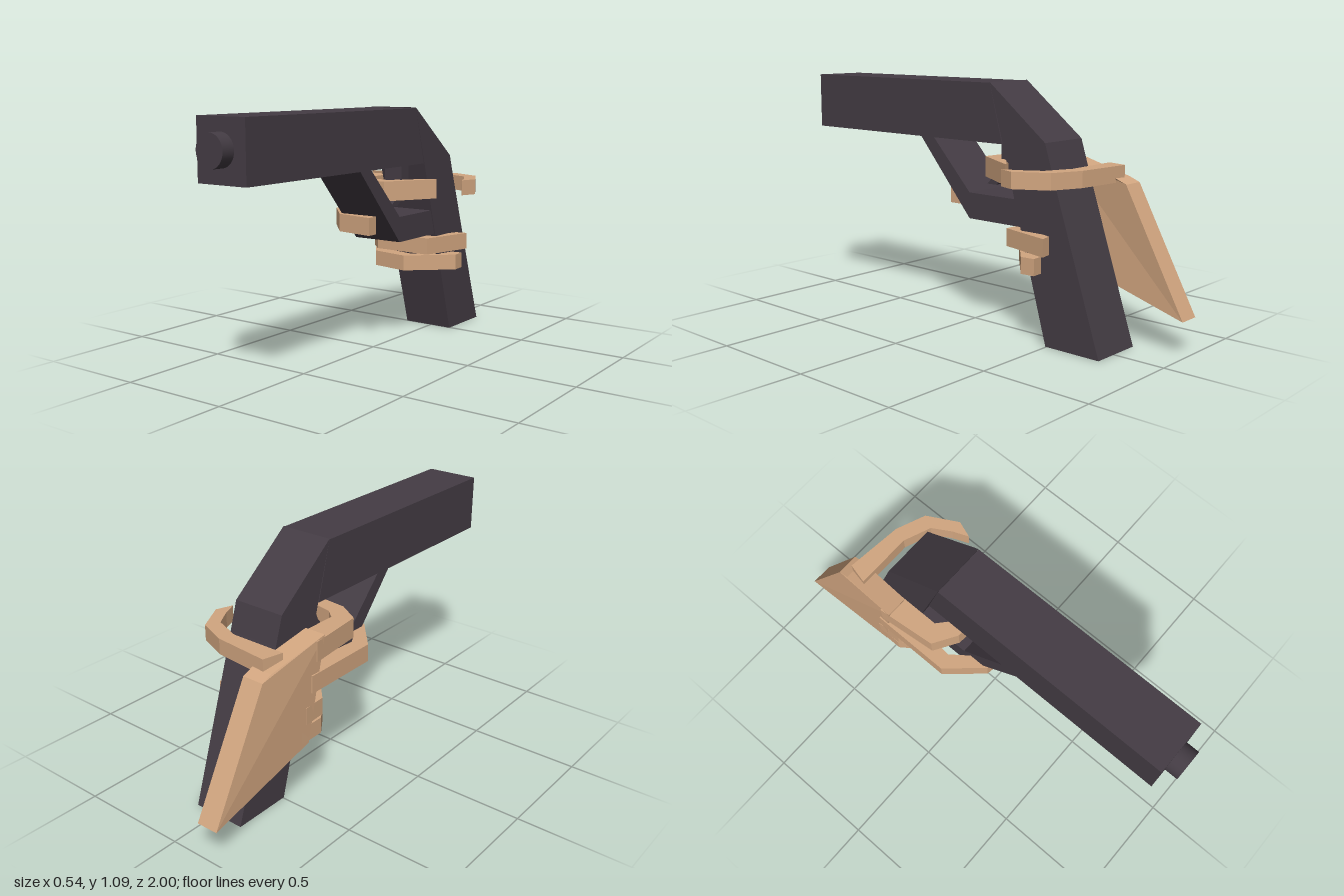
import * as THREE from 'three';

const gunMetal = new THREE.MeshStandardMaterial({ color: 0x443c44 });
gunMetal.name = 'darkGunMetal';
const skin = new THREE.MeshStandardMaterial({ color: 0xd2a680 });
skin.name = 'skin';

const toShape = (points) => new THREE.Shape(points.map(([a, b]) => new THREE.Vector2(a, b)));

// Side profile given as [z, y], swept across x from x0 to x1
function sideSlab(name, points, x0, x1, material) {
  const geo = new THREE.ExtrudeGeometry(toShape(points), { depth: x1 - x0, bevelEnabled: false });
  geo.rotateY(-Math.PI / 2).translate(x1, 0, 0);
  const mesh = new THREE.Mesh(geo, material);
  mesh.name = name;
  return mesh;
}

// Finger: outer and inner bend lines given as [x, z], raised from y0 to y1
function finger(name, outer, inner, y0, y1) {
  const loop = [...outer, ...inner.slice().reverse()].map(([x, z]) => [x, -z]);
  const geo = new THREE.ExtrudeGeometry(toShape(loop), { depth: y1 - y0, bevelEnabled: false });
  geo.rotateX(-Math.PI / 2).translate(0, y0, 0);
  const mesh = new THREE.Mesh(geo, skin);
  mesh.name = name;
  return mesh;
}

export function createModel() {
  const model = new THREE.Group();
  model.name = 'handHoldingPistol';
  const gun = new THREE.Group();
  gun.name = 'pistol';
  const hand = new THREE.Group();
  hand.name = 'hand';
  model.add(gun, hand);

  const left = 0.108, right = -0.14;

  // Barrel, and the grip that slopes down behind it
  gun.add(sideSlab('barrel', [[0.94, 0.832], [0.94, 1.087], [-0.18, 1.087], [-0.25, 0.832]], right, left, gunMetal));
  gun.add(sideSlab('grip', [
    [-0.18, 1.09], [-0.48, 0.855], [-0.52, 0.73], [-0.765, 0], [-0.495, 0], [-0.255, 0.832],
  ], right, left, gunMetal));

  // Muzzle
  const muzzle = new THREE.Mesh(new THREE.CylinderGeometry(0.068, 0.068, 0.08, 32), gunMetal);
  muzzle.name = 'muzzle';
  muzzle.rotation.x = Math.PI / 2;
  muzzle.position.set(-0.017, 0.963, 0.96);
  gun.add(muzzle);

  // Trigger guard and trigger
  gun.add(sideSlab('triggerGuard', [
    [0.24, 0.835], [-0.06, 0.49], [-0.37, 0.49], [-0.34, 0.605], [-0.06, 0.605], [0.16, 0.835],
  ], right, left - 0.005, gunMetal));
  gun.add(sideSlab('trigger', [
    [-0.18, 0.84], [-0.18, 0.75], [-0.16, 0.7], [-0.1, 0.64], [-0.15, 0.64], [-0.21, 0.68], [-0.24, 0.75], [-0.24, 0.84],
  ], -0.06, 0.03, gunMetal));

  // Palm, leaning outward towards the knuckles
  const palm = sideSlab('palm', [
    [-0.37, 0.77], [-0.66, 0.7], [-0.71, 0.68], [-0.995, 0.152], [-0.46, 0.305],
  ], -0.24, -0.14, skin);
  const pos = palm.geometry.attributes.position;
  for (let i = 0; i < pos.count; i++) {
    if (pos.getZ(i) > -0.5) pos.setX(i, pos.getX(i) - 0.015 - 0.03 * (pos.getY(i) - 0.3));
  }
  palm.geometry.computeVertexNormals();
  hand.add(palm);

  // Fingers wrapped round the guard and grip
  hand.add(finger('indexFinger',
    [[-0.272, -0.42], [-0.245, -0.15], [-0.14, -0.085], [0.01, -0.07], [0.146, -0.3]],
    [[-0.165, -0.42], [-0.165, -0.2], [-0.12, -0.16], [-0.02, -0.14], [0.105, -0.285]], 0.667, 0.757));
  hand.add(finger('middleFinger',
    [[-0.27, -0.45], [-0.27, -0.08], [-0.135, 0.072], [0.05, 0.102]],
    [[-0.17, -0.45], [-0.2, -0.1], [-0.12, 0.005], [0.05, 0.05]], 0.535, 0.615));
  hand.add(finger('ringFinger',
    [[-0.262, -0.48], [-0.255, -0.37], [-0.18, -0.29], [0.11, -0.28], [0.178, -0.53]],
    [[-0.17, -0.48], [-0.17, -0.4], [-0.14, -0.35], [0.06, -0.34], [0.125, -0.52]], 0.4, 0.477));
  hand.add(finger('littleFinger',
    [[-0.256, -0.5], [-0.255, -0.38], [-0.19, -0.29], [-0.005, -0.255], [0.183, -0.42], [0.178, -0.485]],
    [[-0.17, -0.5], [-0.17, -0.41], [-0.14, -0.35], [-0.01, -0.32], [0.11, -0.42], [0.125, -0.48]], 0.315, 0.387));

  // Thumb passing behind the grip
  hand.add(finger('thumb',
    [[-0.2, -0.662], [0.06, -0.635], [0.195, -0.58], [0.272, -0.44], [0.245, -0.365]],
    [[-0.222, -0.57], [0.04, -0.57], [0.165, -0.52], [0.215, -0.435], [0.243, -0.366]], 0.682, 0.752));

  return model;
}
